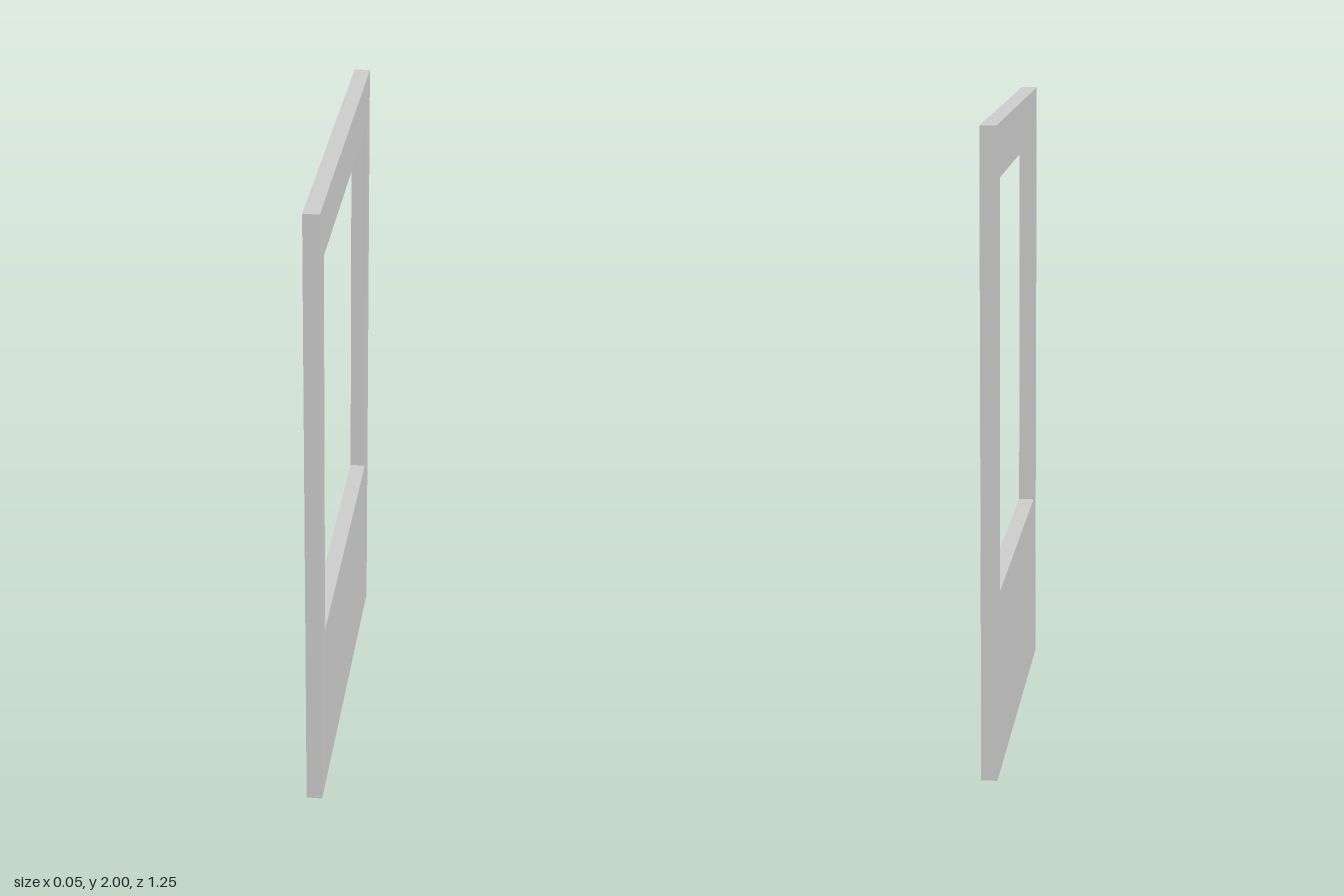
import * as THREE from 'three';

const HEIGHT = 2, HALF_WIDTH = 0.624, THICKNESS = 0.05;
const OPENING = { halfWidth: 0.54, bottom: 0.58, top: 1.84 };

// Corner points of a rectangle centred on the horizontal axis
function rectangle(halfWidth, bottom, top) {
  return [[-halfWidth, bottom], [halfWidth, bottom], [halfWidth, top], [-halfWidth, top]]
    .map(([x, y]) => new THREE.Vector2(x, y));
}

export function createModel() {
  const model = new THREE.Group();
  model.name = 'windowPanel';

  // Upright panel with one rectangular window opening
  const outline = new THREE.Shape(rectangle(HALF_WIDTH, 0, HEIGHT));
  outline.holes.push(new THREE.Path(rectangle(OPENING.halfWidth, OPENING.bottom, OPENING.top)));

  const geometry = new THREE.ExtrudeGeometry(outline, { depth: THICKNESS, bevelEnabled: false });
  geometry.translate(0, 0, -THICKNESS / 2);
  geometry.rotateY(Math.PI / 2); // panel width runs along z

  const panel = new THREE.Mesh(geometry, new THREE.MeshStandardMaterial({ color: 0xcccccc }));
  panel.name = 'panelFrame';
  model.add(panel);
  return model;
}
